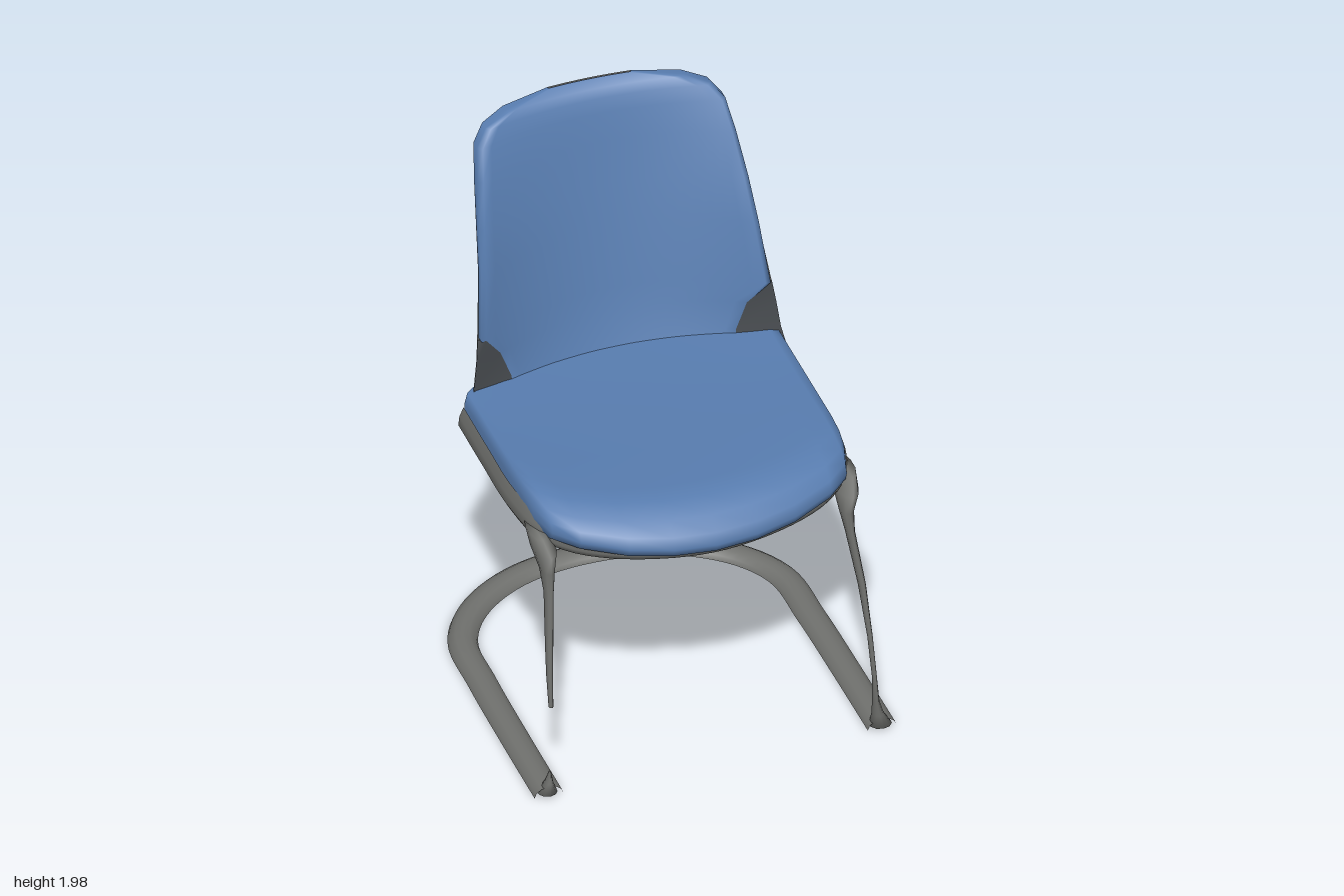
import * as THREE from 'three';

const V = (x, y, z) => new THREE.Vector3(x, y, z);

// Skin a list of point rows; closed rows wrap round and get end caps
function loft(rings, closed = false) {
  const n = rings[0].length, pos = [], idx = [];
  rings.forEach(r => r.forEach(p => pos.push(p.x, p.y, p.z)));
  const cols = closed ? n : n - 1;
  for (let i = 0; i < rings.length - 1; i++) {
    for (let j = 0; j < cols; j++) {
      const k = (j + 1) % n, a = i * n + j, b = i * n + k, c = b + n, d = a + n;
      idx.push(a, b, c, a, c, d);
    }
  }
  if (closed) {
    [0, rings.length - 1].forEach((i, end) => {
      const mid = rings[i].reduce((s, p) => s.add(p), V(0, 0, 0)).divideScalar(n);
      const m = pos.length / 3;
      pos.push(mid.x, mid.y, mid.z);
      for (let j = 0; j < n; j++) {
        const a = i * n + j, b = i * n + (j + 1) % n;
        end ? idx.push(m, a, b) : idx.push(m, b, a);
      }
    });
  }
  const g = new THREE.BufferGeometry();
  g.setAttribute('position', new THREE.Float32BufferAttribute(pos, 3));
  g.setIndex(idx);
  g.computeVertexNormals();
  return g;
}

// Open profile of [sideways, up] points swept along a nearly level curve
function sweep(points, profile, steps) {
  const curve = new THREE.CatmullRomCurve3(points);
  const up = V(0, 1, 0), rings = [];
  for (let i = 0; i <= steps; i++) {
    const p = curve.getPointAt(i / steps);
    const side = curve.getTangentAt(i / steps).cross(up).normalize();
    rings.push(profile.map(([s, u]) => p.clone().addScaledVector(side, s).addScaledVector(up, u)));
  }
  return loft(rings);
}

// Upright tapered leg, rows of [x, y, z, radius in x, radius in z]
function leg(rows) {
  return loft(rows.map(([x, y, z, rx, rz]) => Array.from({ length: 10 }, (_, j) => {
    const a = j / 10 * Math.PI * 2;
    return V(x + rx * Math.sin(a), y, z + rz * Math.cos(a));
  })), true);
}

// Half a path, from its right end to the middle, completed by mirroring
const mirrorPath = half => [
  ...half.map(([x, y, z]) => V(-x, y, z)),
  ...half.slice(0, -1).reverse().map(([x, y, z]) => V(x, y, z)),
];

export function createModel() {
  const material = (name, color) => {
    const m = new THREE.MeshStandardMaterial({ color, side: THREE.DoubleSide });
    m.name = name;
    return m;
  };
  const blue = material('blue fabric', 0x587db0);
  const grey = material('grey shell', 0x70716e);
  const dark = material('dark gusset', 0x45494d);
  const model = new THREE.Group();
  model.name = 'chair';
  const add = (name, geometry, mat, x = 0) => {
    const m = new THREE.Mesh(geometry, mat);
    m.name = name;
    m.position.x = x;
    model.add(m);
  };

  // Backrest rows: y, pad half width, shell half width, pad z and bow, shell z and bow
  const rows = [
    [1.02, 0.41, 0.572, -0.345, 0.46, -0.5, 0.78],
    [1.1, 0.42, 0.553, -0.375, 0.48, -0.505, 0.8],
    [1.2, 0.46, 0.54, -0.405, 0.55, -0.51, 0.82],
    [1.28, 0.522, 0.53, -0.425, 0.6, -0.52, 0.82],
    [1.5, 0.5, 0.502, -0.475, 0.62, -0.57, 0.84],
    [1.65, 0.485, 0.486, -0.515, 0.57, -0.6, 0.74],
    [1.8, 0.465, 0.465, -0.55, 0.47, -0.632, 0.58],
    [1.9, 0.447, 0.445, -0.577, 0.36, -0.645, 0.42],
    [1.95, 0.405, 0.4, -0.593, 0.32, -0.652, 0.36],
    [1.98, 0.32, 0.315, -0.612, 0.3, -0.656, 0.32],
    [2.0, 0.15, 0.15, -0.648, 0.3, -0.656, 0.3],
  ];
  const N = 24;
  const arc = (y, w, z, k) => Array.from({ length: N + 1 }, (_, j) => {
    const x = w * (2 * j / N - 1);
    return V(x, y, z + k * x * x);
  });
  // Pad skin: bowed front, rounded edge, returning to the shell
  add('backCushion', loft(rows.map(([y, w, , zf, kf, zb, kb]) => {
    const front = zf + kf * w * w, shell = zb + kb * w * w;
    const edge = s => [V(s * w, y, shell), V(s * w, y, front + (shell - front) * 0.35)];
    return [...edge(-1), ...arc(y, w * 0.965, zf, kf), ...edge(1).reverse()];
  })), blue);
  const shellRows = [[0.945, 0, 0.58, 0, 0, -0.495, 0.74], ...rows];
  add('backShell', loft(shellRows.map(r => arc(r[0], r[2], r[5], r[6]).reverse())), grey);
  // Dark corners between the foot of the pad and the shell
  for (const s of [-1, 1]) {
    add(s > 0 ? 'leftGusset' : 'rightGusset', loft(rows.slice(0, 4).map(([y, w, ws, zf, kf, zb, kb]) => {
      const pair = [V(s * w * 0.965, y, zf + kf * w * w * 0.93), V(s * ws, y, zb + kb * ws * ws + 0.004)];
      return s > 0 ? pair : pair.reverse();
    })), dark);
  }

  // Seat skin, open below: slices from right to left, [x, front z, highest y]
  const half = [[0.575, 0.3, 1.0], [0.573, 0.32, 1.055], [0.56, 0.42, 1.088], [0.53, 0.52, 2],
    [0.45, 0.588, 2], [0.3, 0.655, 2], [0.15, 0.69, 2], [0, 0.702, 2]];
  const stations = [...half.map(([x, f, top]) => [-x, f, top]), ...half.slice(0, -1).reverse()];
  add('seatCushion', loft(stations.map(([x, f, top]) => {
    const rear = -0.45 + 0.6 * x * x;
    const middle = 1 - (x / 0.575) ** 2;
    const droop = 0.062 * middle, dish = 0.016 * middle;
    const at = t => rear + (f - 0.22 - rear) * t;
    return [
      [1.095 - dish, rear], [1.09 - dish, at(0.25)], [1.09 - dish, at(0.5)], [1.095 - dish, at(0.75)],
      [1.1 - dish, f - 0.22], [1.095 - dish, f - 0.14], [1.08 - droop * 0.5, f - 0.06],
      [1.055 - droop * 0.8, f - 0.015], [1.025 - droop, f], [0.995 - droop, f - 0.012],
      [0.975 - droop, f - 0.05], [0.975 - droop, f - 0.09],
    ].map(([y, z]) => V(x, Math.min(y, top), z));
  })), blue, -0.015);

  // Grey rim round the sides and front of the seat, turned in below
  add('seatRim', sweep(mirrorPath([[0.583, 0.985, -0.25], [0.585, 0.985, 0], [0.583, 0.985, 0.25],
    [0.55, 0.98, 0.43], [0.46, 0.968, 0.535], [0.28, 0.952, 0.615], [0, 0.943, 0.658]]),
  [[-0.005, 0.055], [0.01, 0.02], [0.014, -0.015], [0.002, -0.038], [-0.03, -0.045], [-0.065, -0.045]], 60), grey, -0.015);

  // Floor runner, a shallow channel open towards the front
  add('floorBase', sweep(mirrorPath([[0.6, 0.037, 0.64], [0.598, 0.037, 0.3], [0.592, 0.037, -0.05],
    [0.575, 0.037, -0.31], [0.47, 0.037, -0.48], [0.27, 0.037, -0.61], [0, 0.037, -0.655]]),
  [[0.052, -0.018], [0.045, 0], [0.025, 0.014], [0, 0.018], [-0.025, 0.014], [-0.045, 0], [-0.052, -0.018]], 80), grey);

  // Front legs: the left is whole, the right has a gap above its foot
  add('leftLeg', leg([[0.6, 0.025, 0.62, 0.04, 0.035], [0.587, 0.08, 0.63, 0.02, 0.028],
    [0.575, 0.14, 0.643, 0.012, 0.018], [0.568, 0.24, 0.652, 0.008, 0.012], [0.56, 0.4, 0.628, 0.009, 0.012],
    [0.543, 0.6, 0.592, 0.013, 0.022], [0.515, 0.8, 0.55, 0.016, 0.028],
    [0.51, 0.88, 0.525, 0.025, 0.045], [0.523, 0.94, 0.48, 0.04, 0.085], [0.54, 0.985, 0.43, 0.03, 0.08]]), grey);
  add('rightLeg', leg([[-0.59, 0.38, 0.63, 0.008, 0.01], [-0.588, 0.5, 0.61, 0.011, 0.016],
    [-0.583, 0.6, 0.592, 0.013, 0.022], [-0.57, 0.8, 0.55, 0.016, 0.028],
    [-0.567, 0.88, 0.525, 0.025, 0.045], [-0.565, 0.94, 0.48, 0.04, 0.085], [-0.575, 0.985, 0.43, 0.03, 0.08]]), grey);
  add('rightFoot', leg([[-0.6, 0.025, 0.62, 0.035, 0.035], [-0.597, 0.07, 0.63, 0.014, 0.022],
    [-0.597, 0.12, 0.64, 0.003, 0.006]]), grey);
  return model;
}
